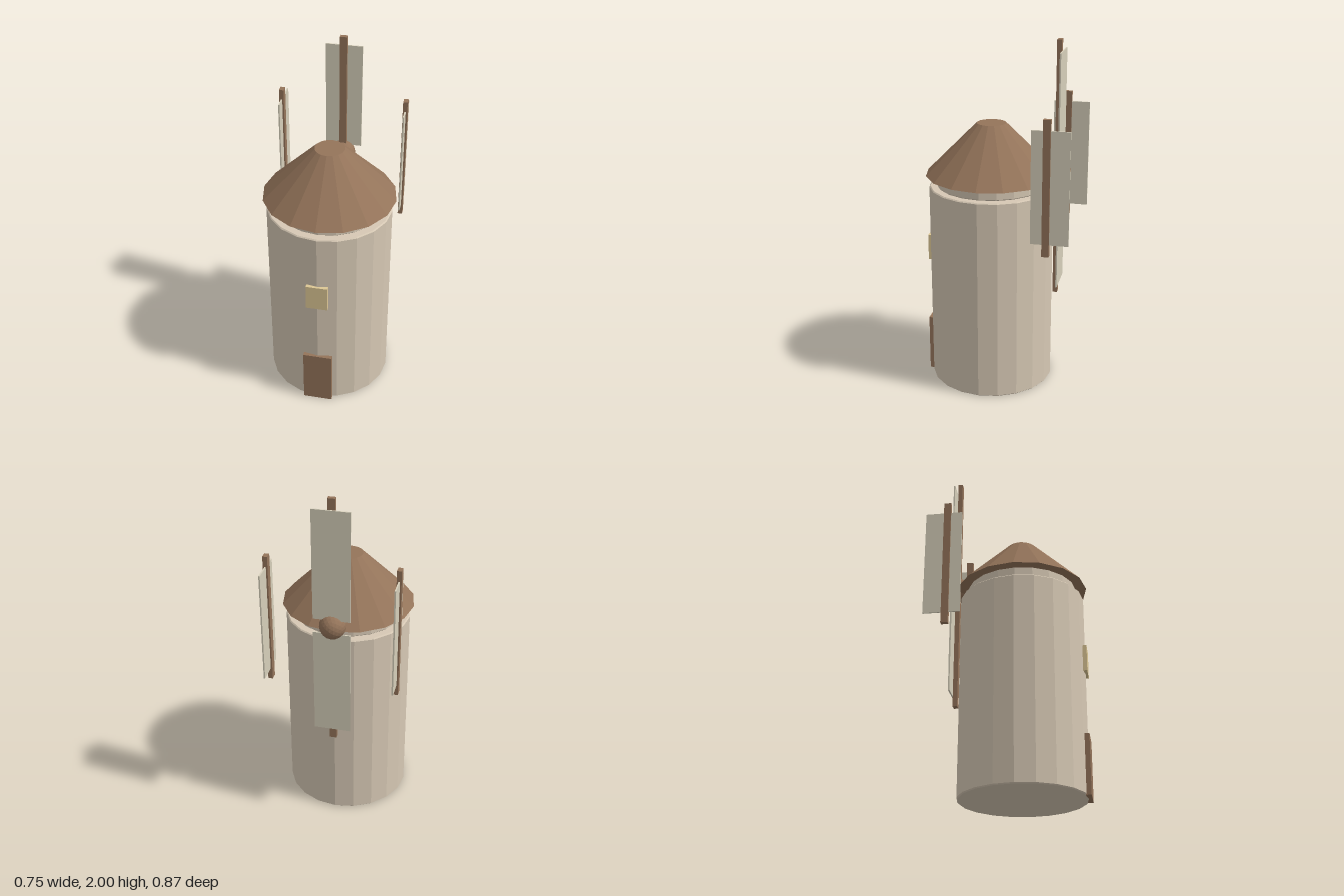
import * as THREE from 'three';

const paint = (color) => new THREE.MeshStandardMaterial({ color, flatShading: true });

export function createModel() {
  const model = new THREE.Group();
  const stone = paint(0xd6c8b4);
  const wood = paint(0x94745a);
  const canvas = paint(0xd6cfba);
  const glass = paint(0xdcc694);

  const add = (name, geometry, material, x, y, z, parent = model) => {
    const mesh = new THREE.Mesh(geometry, material);
    mesh.name = name;
    mesh.position.set(x, y, z);
    parent.add(mesh);
    return mesh;
  };

  // Faceted drum with slightly chamfered rims, standing on its origin
  const drum = (radius, height, bevel = 0.006) => new THREE.LatheGeometry([
    [0, 0], [radius - bevel, 0], [radius, bevel],
    [radius, height - bevel], [radius - bevel, height], [0, height],
  ].map(([r, y]) => new THREE.Vector2(r, y)), 20);

  // Tower, neck and roof share one axis
  const axisZ = 0.062;
  add('tower', drum(0.353, 1.168), stone, 0, 0, axisZ);
  add('neck', drum(0.311, 0.08), stone, 0, 1.168, axisZ);
  add('roof', new THREE.CylinderGeometry(0.083, 0.373, 0.293, 16), wood, 0, 1.378, axisZ);

  // Door and window on the front
  add('door', new THREE.BoxGeometry(0.166, 0.333, 0.03), wood, 0, 0.1665, 0.413);
  add('window', new THREE.BoxGeometry(0.122, 0.15, 0.03), glass, 0, 0.775, 0.413);

  // Hub at the back
  const hubY = 1.272, hubZ = -0.315, reach = 0.353;
  add('hub', new THREE.IcosahedronGeometry(0.073, 3), wood, 0, hubY, hubZ);

  // Four upright sails around the hub; the side pair is turned edge-on
  const spar = [0.04, 0.75, 0.026];
  const cloth = [0.207, 0.624, 0.008];
  for (let i = 0; i < 4; i++) {
    const angle = i * Math.PI / 2;
    const turned = i % 2 === 1;
    const box = ([w, h, d]) => new THREE.BoxGeometry(turned ? d : w, h, turned ? w : d);
    const blade = new THREE.Group();
    blade.name = 'blade';
    blade.position.set(Math.sin(angle) * reach, hubY + Math.cos(angle) * reach, hubZ);
    add('spar', box(spar), wood, 0, 0, 0.001, blade);
    add('sail', box(cloth), canvas, 0, 0.003, -0.019, blade);
    model.add(blade);
  }
  return model;
}
